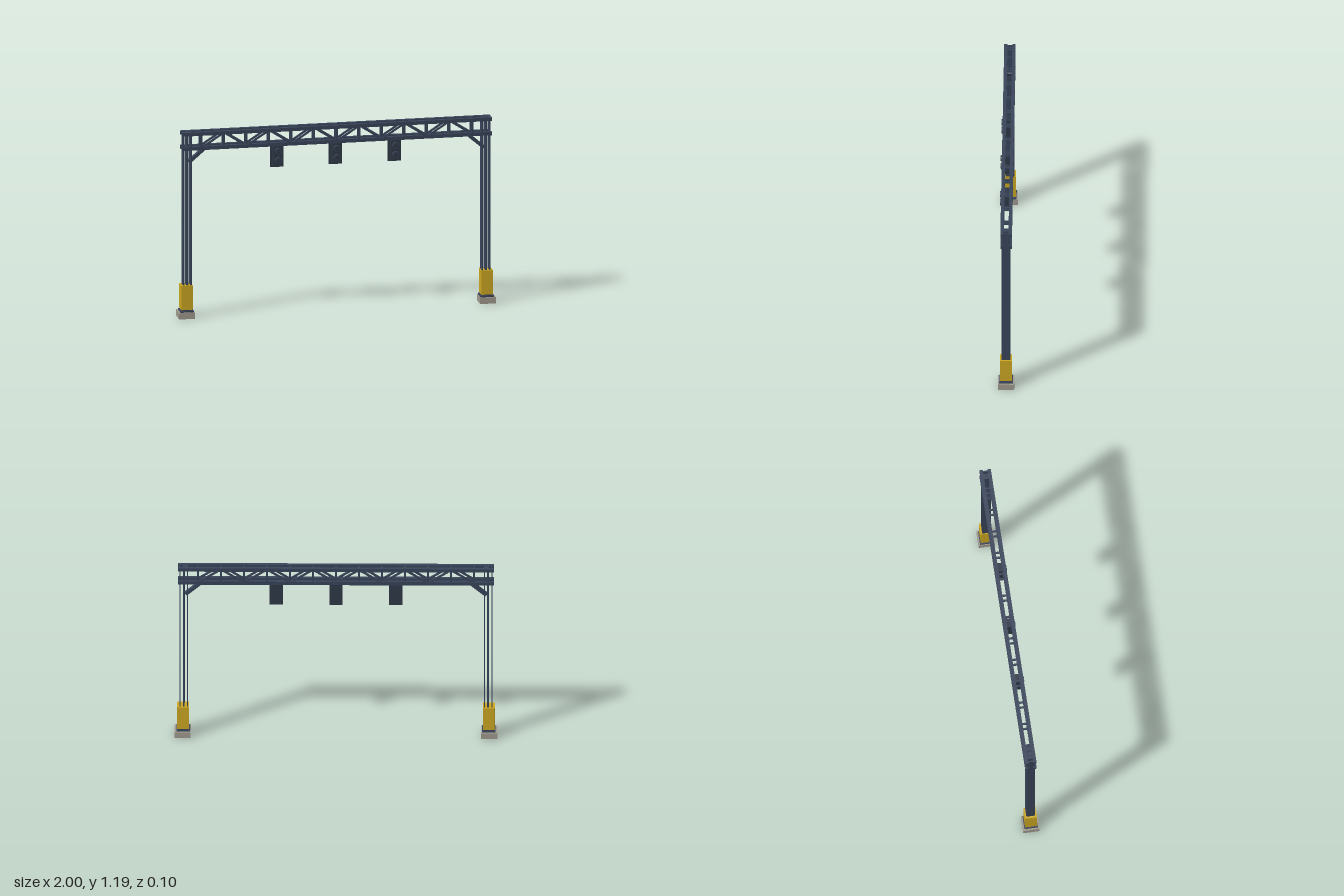
import * as THREE from 'three';

const mat = (name, color) => new THREE.MeshStandardMaterial({ name, color });

export function createModel() {
  const steel = mat('slate steel', 0x39455a);
  const dark = mat('signal housing', 0x2f3947);
  const yellow = mat('guard yellow', 0xcca822);
  const concrete = mat('concrete', 0xa09b8f);

  const root = new THREE.Group();
  root.name = 'signalGantry';

  const box = (parent, name, m, w, h, d, x, y, z) => {
    const mesh = new THREE.Mesh(new THREE.BoxGeometry(w, h, d), m);
    mesh.name = name;
    mesh.position.set(x, y, z);
    parent.add(mesh);
    return mesh;
  };
  // Straight bar between two points in an x-y plane
  const bar = (parent, name, m, a, b, z, t, d) => {
    const dx = b[0] - a[0], dy = b[1] - a[1];
    const mesh = box(parent, name, m, Math.hypot(dx, dy), t, d, (a[0] + b[0]) / 2, (a[1] + b[1]) / 2, z);
    mesh.rotation.z = Math.atan2(dy, dx);
  };

  const topY = 1.179, lowY = 1.087, chordZ = 0.025;

  // Posts with footing, guard sleeve and knee brace
  for (const s of [-1, 1]) {
    const post = new THREE.Group();
    post.name = s > 0 ? 'leftPost' : 'rightPost';
    root.add(post);
    const x = s * 0.943;
    box(post, 'footing', concrete, 0.1, 0.04, 0.102, s * 0.95, 0.02, 0);
    box(post, 'basePlate', steel, 0.084, 0.009, 0.084, s * 0.947, 0.0445, 0);
    box(post, 'baseCollar', steel, 0.068, 0.008, 0.068, s * 0.947, 0.052, 0);
    box(post, 'guardSleeve', yellow, 0.073, 0.155, 0.074, s * 0.947, 0.1325, 0);
    // Three parallel plates
    for (const off of [-0.0235, 0, 0.0235]) {
      box(post, off ? 'flange' : 'web', steel, off ? 0.008 : 0.012, 1.14, 0.055, x + off, 0.62, 0);
    }
    bar(post, 'kneeBrace', steel, [s * 0.93, 0.995], [s * 0.825, 1.085], 0, 0.02, 0.03);
    box(post, 'topTie', steel, 0.024, 0.014, 0.04, s * 0.934, topY, 0);
  }

  // Truss chords, verticals and alternating diagonals on both faces
  const truss = new THREE.Group();
  truss.name = 'truss';
  root.add(truss);
  const panels = 12, step = 0.1425;
  const nodeX = (i) => (i - panels / 2) * step;
  for (const z of [-chordZ, chordZ]) {
    for (const y of [lowY, topY]) box(truss, 'chord', steel, 1.956, 0.023, 0.021, 0, y, z);
    for (let i = 0; i <= panels; i++) {
      box(truss, 'vertical', steel, 0.011, topY - lowY, 0.011, nodeX(i), (topY + lowY) / 2, z);
      if (i === panels) continue;
      const up = i % 2 === 0;
      bar(truss, 'diagonal', steel, [nodeX(i), up ? lowY : topY], [nodeX(i + 1), up ? topY : lowY], z, 0.011, 0.011);
    }
  }
  // Cross ties between the two faces
  for (let i = 0; i <= panels; i++) {
    for (const y of [lowY, topY]) box(truss, 'crossTie', steel, 0.011, 0.011, chordZ * 2, nodeX(i), y, 0);
  }

  // Hanging signal heads with backplates and two hooded lamps
  for (const x of [-0.37, 0, 0.37]) {
    const head = new THREE.Group();
    head.name = 'signalHead';
    head.position.x = x;
    root.add(head);
    box(head, 'backplate', dark, 0.083, 0.146, 0.009, 0, 1.003, -0.018);
    box(head, 'housing', dark, 0.056, 0.13, 0.042, 0, 1.008, 0.006);
    for (const y of [1.042, 0.983]) {
      const hood = new THREE.Mesh(new THREE.CylinderGeometry(0.021, 0.021, 0.018, 20), steel);
      hood.name = 'lampHood';
      hood.rotation.x = Math.PI / 2;
      hood.position.set(0, y, 0.035);
      head.add(hood);
      const lens = new THREE.Mesh(new THREE.CylinderGeometry(0.016, 0.016, 0.002, 20), dark);
      lens.name = 'lens';
      lens.rotation.x = Math.PI / 2;
      lens.position.set(0, y, 0.0445);
      head.add(lens);
    }
  }
  return root;
}
